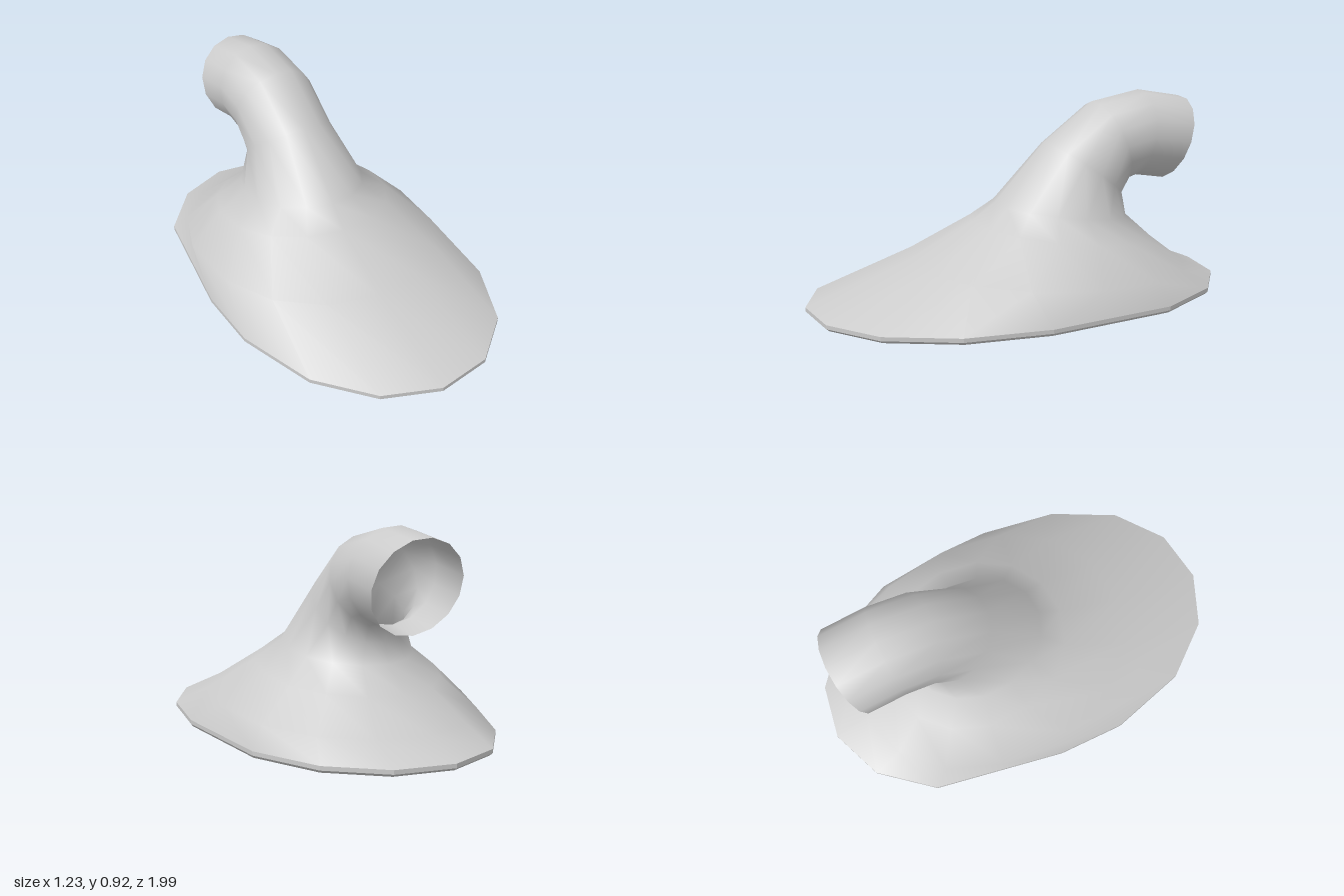
import * as THREE from 'three';

const SIDES = 15;

// One ring: spans front point F to back point B (each [z, y]), half-width w;
// power below 1 squares the outline off a little.
function ring(F, B, w, power = 1, nudge = {}) {
  const points = [];
  for (let j = 0; j < SIDES; j++) {
    const t = (j / SIDES) * Math.PI * 2;
    const s = Math.sign(Math.sin(t)) * Math.abs(Math.sin(t)) ** power;
    const k = (s + 1) / 2;
    points.push(new THREE.Vector3(
      w * Math.cos(t),
      B[1] + (F[1] - B[1]) * k,
      B[0] + (F[0] - B[0]) * k + (nudge[j] || 0)
    ));
  }
  return points;
}

// Skin consecutive rings, bottom to top
function loft(rings) {
  const index = [];
  for (let i = 0; i < rings.length - 1; i++) {
    for (let j = 0; j < SIDES; j++) {
      const n = (j + 1) % SIDES;
      const a = i * SIDES + j, b = i * SIDES + n;
      const c = a + SIDES, d = b + SIDES;
      index.push(a, c, d, a, d, b);
    }
  }
  const geometry = new THREE.BufferGeometry().setFromPoints(rings.flat());
  geometry.setIndex(index);
  geometry.computeVertexNormals();
  return geometry;
}

export function createModel() {
  const group = new THREE.Group();
  const smooth = new THREE.MeshStandardMaterial({ color: 0xcccccc, side: THREE.DoubleSide });
  const faceted = new THREE.MeshStandardMaterial({ color: 0xcccccc, side: THREE.DoubleSide, flatShading: true });

  function add(name, geometry, material) {
    const mesh = new THREE.Mesh(geometry, material);
    mesh.name = name;
    group.add(mesh);
  }

  // Slightly uneven oval foot outline
  const nudge = { 0: 0.11, 8: 0.25 };
  const foot = (y, scale) => ring([scale, y], [-scale, y], 0.622 * scale, 0.8, nudge);
  const top = foot(0.03, 1);

  // Flared hood sweeping up into a bent, open pipe
  add('hoodAndPipe', loft([
    top,
    ring([0.53, 0.19], [-0.83, 0.10], 0.565, 0.87),
    ring([0.22, 0.35], [-0.66, 0.23], 0.405, 0.95),
    ring([0.11, 0.43], [-0.54, 0.34], 0.285),
    ring([-0.14, 0.70], [-0.52, 0.43], 0.208),
    ring([-0.39, 0.88], [-0.54, 0.50], 0.208),
    ring([-0.64, 0.926], [-0.59, 0.515], 0.208),
    ring([-0.87, 0.887], [-0.74, 0.49], 0.208),
  ]), smooth);

  // Thin bevelled rim around the foot
  const bottom = foot(0, 0.985);
  add('rim', loft([bottom, foot(0.012, 1), top]), faceted);

  // Flat underside
  const outline = new THREE.Shape(bottom.map((p) => new THREE.Vector2(p.x, p.z)));
  const base = new THREE.ShapeGeometry(outline);
  base.rotateX(Math.PI / 2);
  add('underside', base, faceted);

  return group;
}
